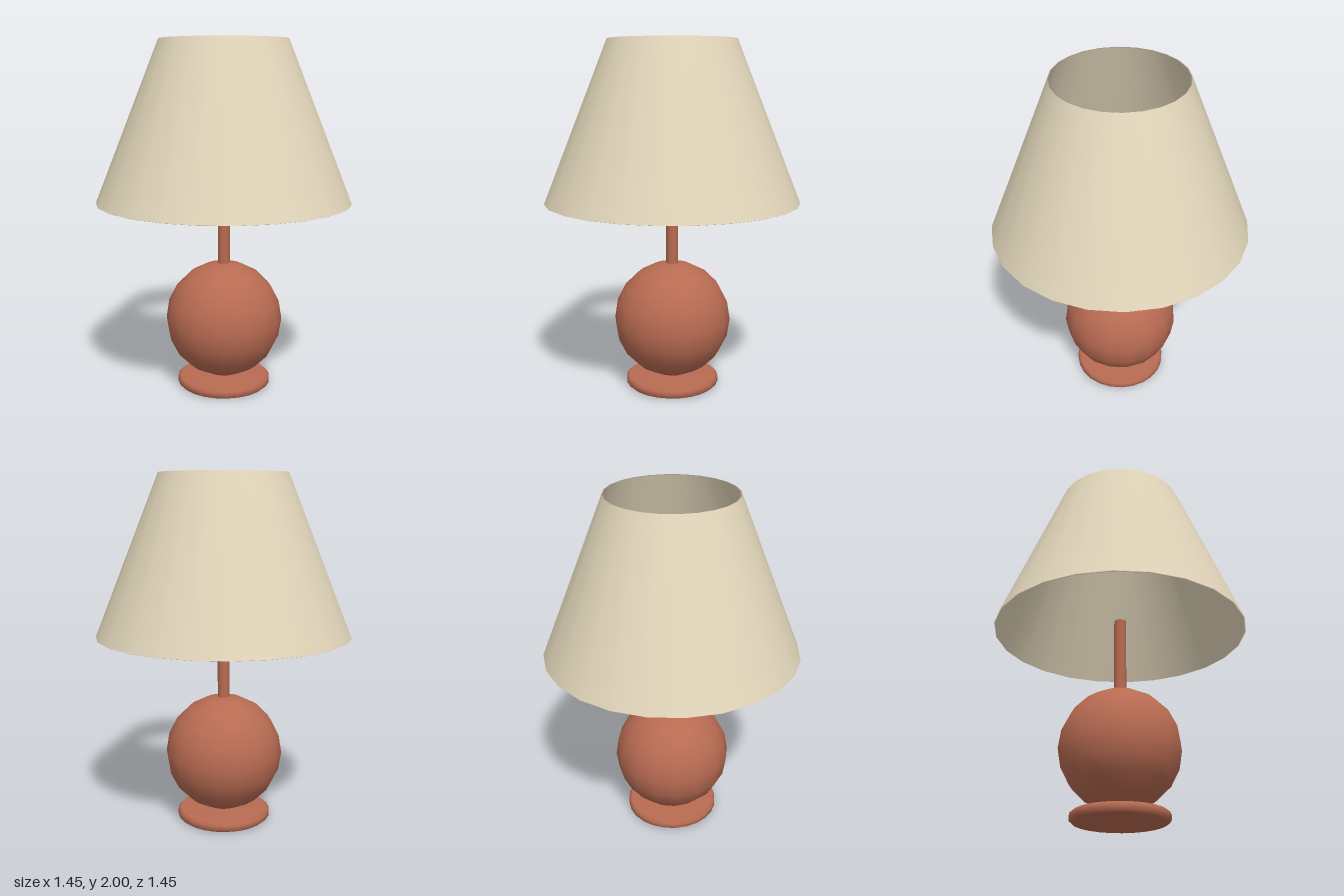
import * as THREE from 'three';

const terracotta = new THREE.MeshStandardMaterial({ color: 0xb86b52 });
terracotta.name = 'terracotta';
const linen = new THREE.MeshStandardMaterial({ color: 0xe3d7bb });
linen.name = 'linen';

// Surface of revolution from [radius, height] pairs
function turned(profile, sides) {
  return new THREE.LatheGeometry(profile.map(([r, y]) => new THREE.Vector2(r, y)), sides);
}

export function createModel() {
  const lamp = new THREE.Group();
  lamp.name = 'tableLamp';

  function add(name, geometry, material, y = 0) {
    const mesh = new THREE.Mesh(geometry, material);
    mesh.name = name;
    mesh.position.y = y;
    lamp.add(mesh);
  }

  // Flat foot with a softened rim
  add('foot', turned([
    [0, 0], [0.254, 0], [0.27, 0.014], [0.27, 0.042], [0.254, 0.056], [0, 0.056],
  ], 24), terracotta);

  // Round body
  add('body', new THREE.SphereGeometry(0.338, 16, 10), terracotta, 0.398);

  // Stem rising into the shade
  const stemBottom = 0.7, stemTop = 1.175;
  add('stem', new THREE.CylinderGeometry(0.035, 0.035, stemTop - stemBottom, 10),
    terracotta, (stemBottom + stemTop) / 2);

  // Open thin-walled shade, rims square to the wall
  add('shade', turned([
    [0.717, 1.09], [0.725, 1.093], [0.361, 2], [0.353, 1.997], [0.717, 1.09],
  ], 24), linen);

  return lamp;
}
